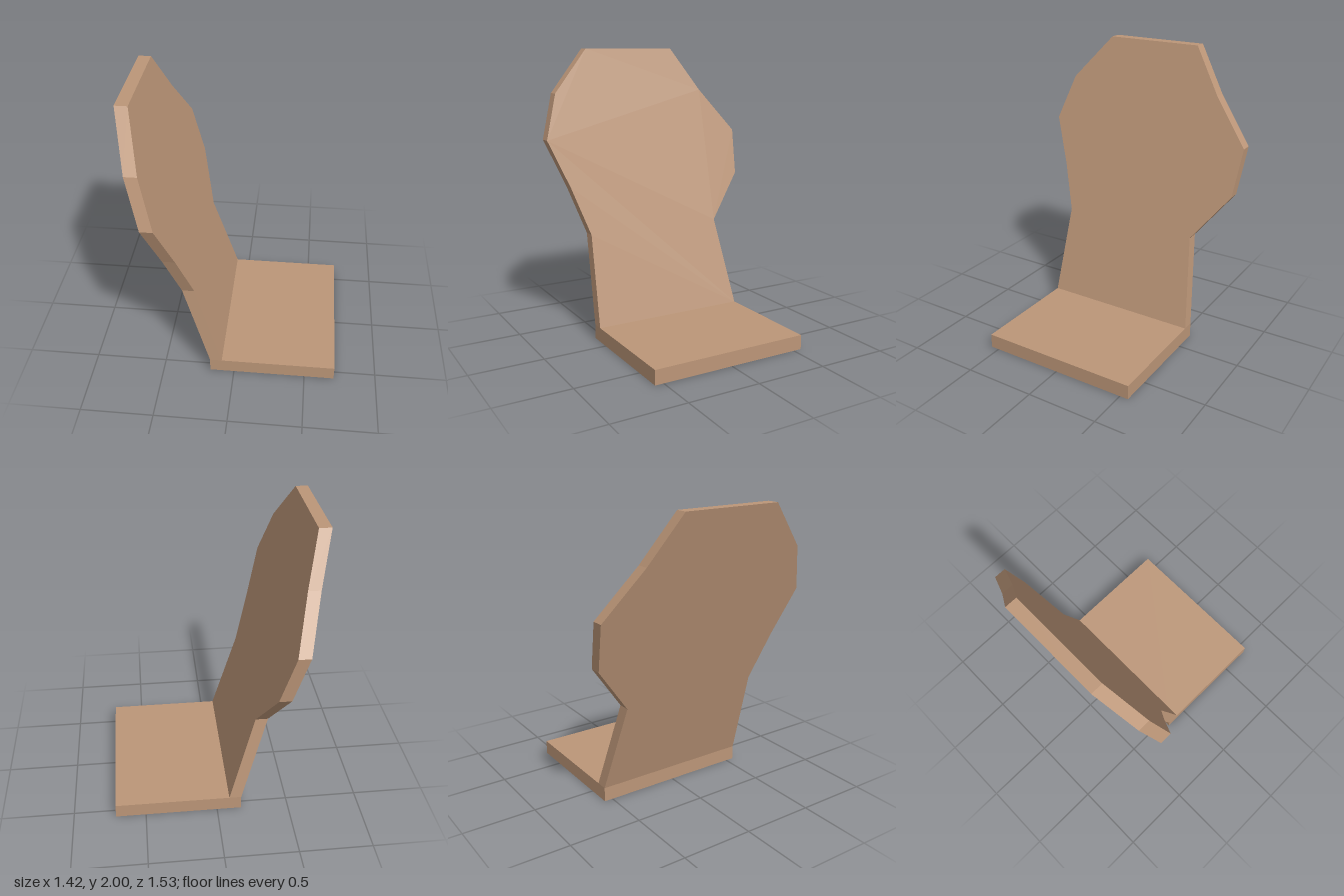
import * as THREE from 'three';

export function createModel() {
  const model = new THREE.Group();
  const wood = new THREE.MeshStandardMaterial({ color: 0xbc9678 });
  wood.name = 'tan wood';

  // Flat seat slab
  const seat = new THREE.Mesh(new THREE.BoxGeometry(0.877, 0.1, 1.12), wood);
  seat.name = 'seat';
  seat.position.set(0.2695, 0.05, 0);
  model.add(seat);

  // Back outline as (-z, height above the seat)
  const outline = [
    [-0.56, 0], [0.56, 0], [0.48, 0.62], [0.735, 0.95], [0.765, 1.275], [0.51, 1.59],
    [0.305, 1.9], [-0.39, 1.9], [-0.665, 1.59], [-0.768, 1.275], [-0.64, 0.95], [-0.533, 0.62],
  ].map(([u, v]) => new THREE.Vector2(u, v));
  const geometry = new THREE.ExtrudeGeometry(new THREE.Shape(outline), {
    depth: 0.083, bevelEnabled: false,
  });

  // Turn the outline to face +x and shear it backwards so the back reclines
  const lean = -0.284;
  geometry.applyMatrix4(new THREE.Matrix4().makeBasis(
    new THREE.Vector3(0, 0, -1),
    new THREE.Vector3(lean, 1, 0),
    new THREE.Vector3(1, 0, 0),
  ));
  const back = new THREE.Mesh(geometry, wood);
  back.name = 'backrest';
  back.position.set(-0.169, 0.1, 0);
  model.add(back);

  return model;
}
